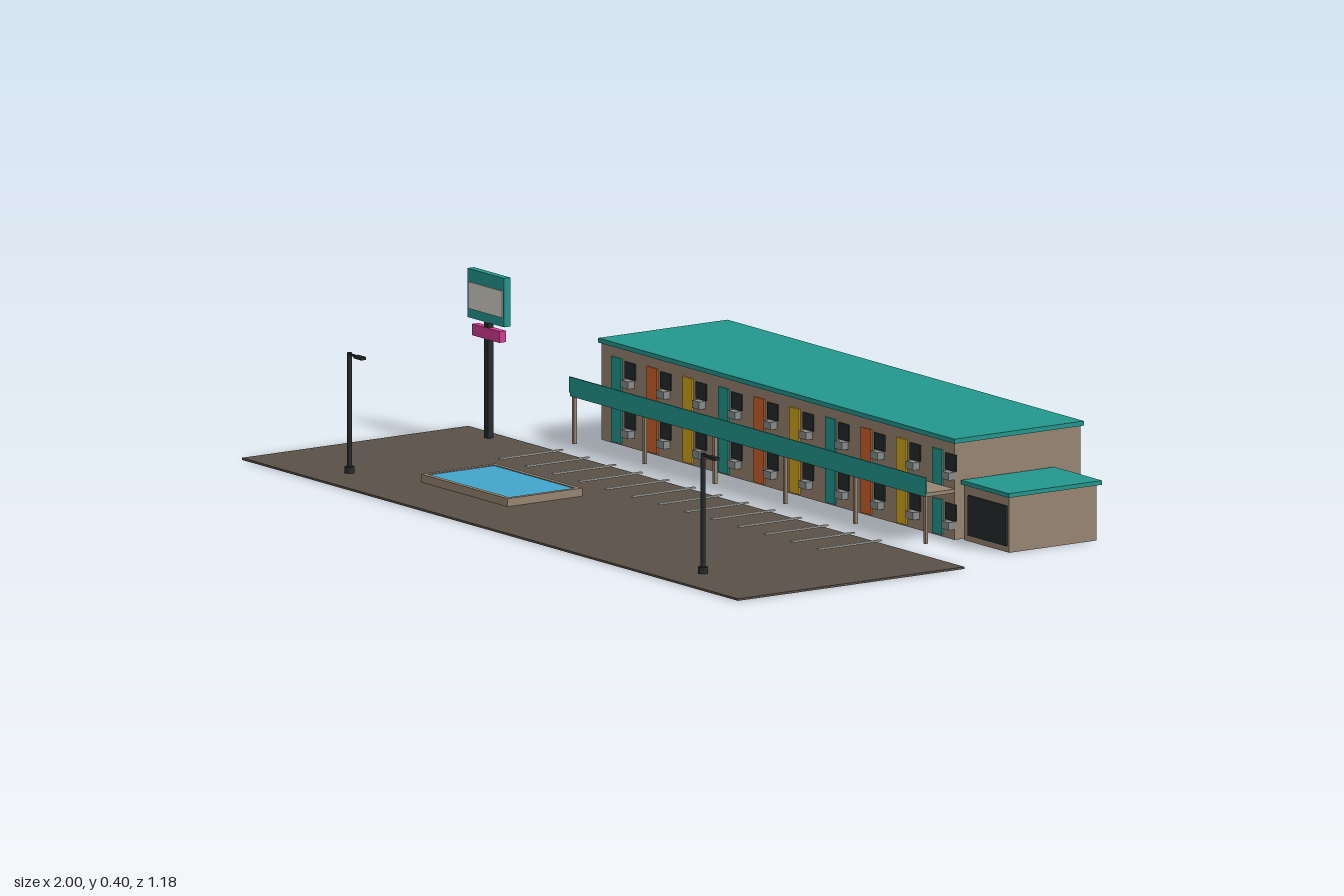
import * as THREE from 'three';

const mat = (name, color) => {
  const m = new THREE.MeshStandardMaterial({ color });
  m.name = name;
  return m;
};

export function createModel() {
  const M = {
    teal: mat('teal', 0x23988f),
    wall: mat('stucco tan', 0x998571),
    asphalt: mat('asphalt', 0x5a5048),
    water: mat('water blue', 0x42a5cc),
    white: mat('off white', 0xd6d3ca),
    orange: mat('orange', 0xd0622a),
    yellow: mat('yellow', 0xd4a81c),
    pink: mat('pink', 0xd63a94),
    dark: mat('charcoal', 0x252b2d),
    grey: mat('metal grey', 0x8a8c8c),
  };
  const root = new THREE.Group();
  root.name = 'roadsideMotel';

  const group = (name) => {
    const g = new THREE.Group();
    g.name = name;
    root.add(g);
    return g;
  };
  // Box given by its minimum and maximum on each axis
  const box = (parent, name, material, [x0, x1], [y0, y1], [z0, z1]) => {
    const m = new THREE.Mesh(new THREE.BoxGeometry(x1 - x0, y1 - y0, z1 - z0), material);
    m.position.set((x0 + x1) / 2, (y0 + y1) / 2, (z0 + z1) / 2);
    m.name = name;
    parent.add(m);
    return m;
  };
  const cyl = (parent, name, material, r, x, y0, y1, z) => {
    const m = new THREE.Mesh(new THREE.CylinderGeometry(r, r, y1 - y0, 12), material);
    m.position.set(x, (y0 + y1) / 2, z);
    m.name = name;
    parent.add(m);
    return m;
  };
  const around = (c, w) => [c - w / 2, c + w / 2];

  // Parking lot with stall lines
  const lot = group('parkingLot');
  box(lot, 'asphalt', M.asphalt, [-1, 1], [0, 0.005], [-0.053, 0.59]);
  for (let i = 0; i < 13; i++) {
    box(lot, 'stallLine', M.white, around(-0.642 + i * 0.107, 0.008), [0.005, 0.008], [-0.068, 0.11]);
  }

  // Main two-storey block
  const motel = group('motelBlock');
  box(motel, 'walls', M.wall, [-0.712, 0.712], [0, 0.23], [-0.586, -0.228]);
  box(motel, 'roof', M.teal, [-0.72, 0.717], [0.229, 0.24], [-0.592, -0.225]);

  // Ten rooms on each floor: door, window and air conditioner
  const doorColours = [M.teal, M.orange, M.yellow];
  for (const floor of [0, 0.118]) {
    for (let i = 0; i < 10; i++) {
      const x = -0.647 + i * 0.1437;
      const room = new THREE.Group();
      room.name = 'roomFront';
      motel.add(room);
      box(room, 'door', doorColours[i % 3], around(x, 0.04), [floor + 0.004, floor + 0.088], [-0.229, -0.224]);
      box(room, 'window', M.dark, around(x + 0.053, 0.042), [floor + 0.045, floor + 0.084], [-0.229, -0.225]);
      box(room, 'airConditioner', M.grey, around(x + 0.053, 0.03), [floor + 0.025, floor + 0.043], [-0.229, -0.21]);
    }
  }

  // Upper walkway on posts
  const walkway = group('walkway');
  box(walkway, 'deck', M.wall, [-0.717, 0.715], [0.112, 0.121], [-0.145, -0.228]
    .sort((a, b) => a - b));
  box(walkway, 'deckFascia', M.teal, [-0.717, 0.715], [0.112, 0.121], [-0.145, -0.143]);
  box(walkway, 'railing', M.teal, [-0.72, 0.718], [0.121, 0.158], [-0.146, -0.142]);
  for (let i = 0; i < 6; i++) {
    box(walkway, 'post', M.wall, around(-0.708 + i * 0.2832, 0.008), [0, 0.113], [-0.153, -0.145]);
  }

  // Office at the end of the block
  const office = group('office');
  box(office, 'walls', M.wall, [0.725, 0.907], [0, 0.133], [-0.494, -0.246]);
  box(office, 'roof', M.teal, [0.721, 0.914], [0.132, 0.142], [-0.505, -0.24]);
  box(office, 'frontWindow', M.dark, [0.747, 0.9], [0.015, 0.11], [-0.247, -0.241]);

  // Swimming pool: coping ring with water inside
  const pool = group('pool');
  const rect = (path, x0, x1, y0, y1) => {
    path.moveTo(x0, y0);
    path.lineTo(x1, y0);
    path.lineTo(x1, y1);
    path.lineTo(x0, y1);
    path.closePath();
    return path;
  };
  const rim = rect(new THREE.Shape(), -0.531, -0.181, -0.412, -0.2);
  rim.holes.push(rect(new THREE.Path(), -0.519, -0.193, -0.4, -0.212));
  const coping = new THREE.Mesh(
    new THREE.ExtrudeGeometry(rim, { depth: 0.02, bevelEnabled: false }), M.wall);
  coping.rotation.x = -Math.PI / 2;
  coping.position.y = 0.004;
  coping.name = 'coping';
  pool.add(coping);
  box(pool, 'water', M.water, [-0.519, -0.193], [0.004, 0.022], [0.212, 0.4]);

  // Lamp posts
  for (const x of [-0.715, 0.71]) {
    const lamp = group('lampPost');
    cyl(lamp, 'base', M.dark, 0.012, x, 0.004, 0.02, 0.485);
    cyl(lamp, 'pole', M.dark, 0.0055, x, 0.004, 0.29, 0.485);
    box(lamp, 'arm', M.dark, [x, x + 0.04], [0.283, 0.288], [0.4825, 0.4875]);
    box(lamp, 'head', M.dark, [x + 0.025, x + 0.057], [0.281, 0.288], [0.478, 0.492]);
  }

  // Roadside sign
  const sign = group('roadsideSign');
  box(sign, 'post', M.dark, around(-0.86, 0.016), [0.004, 0.285], around(-0.0125, 0.016));
  box(sign, 'cabinet', M.teal, [-0.933, -0.786], [0.28, 0.396], [-0.022, -0.004]);
  box(sign, 'facePanel', M.white, [-0.928, -0.791], [0.302, 0.365], [-0.005, -0.001]);
  box(sign, 'lowerPanel', M.pink, [-0.914, -0.804], [0.24, 0.267], [-0.0215, -0.0035]);

  return root;
}
